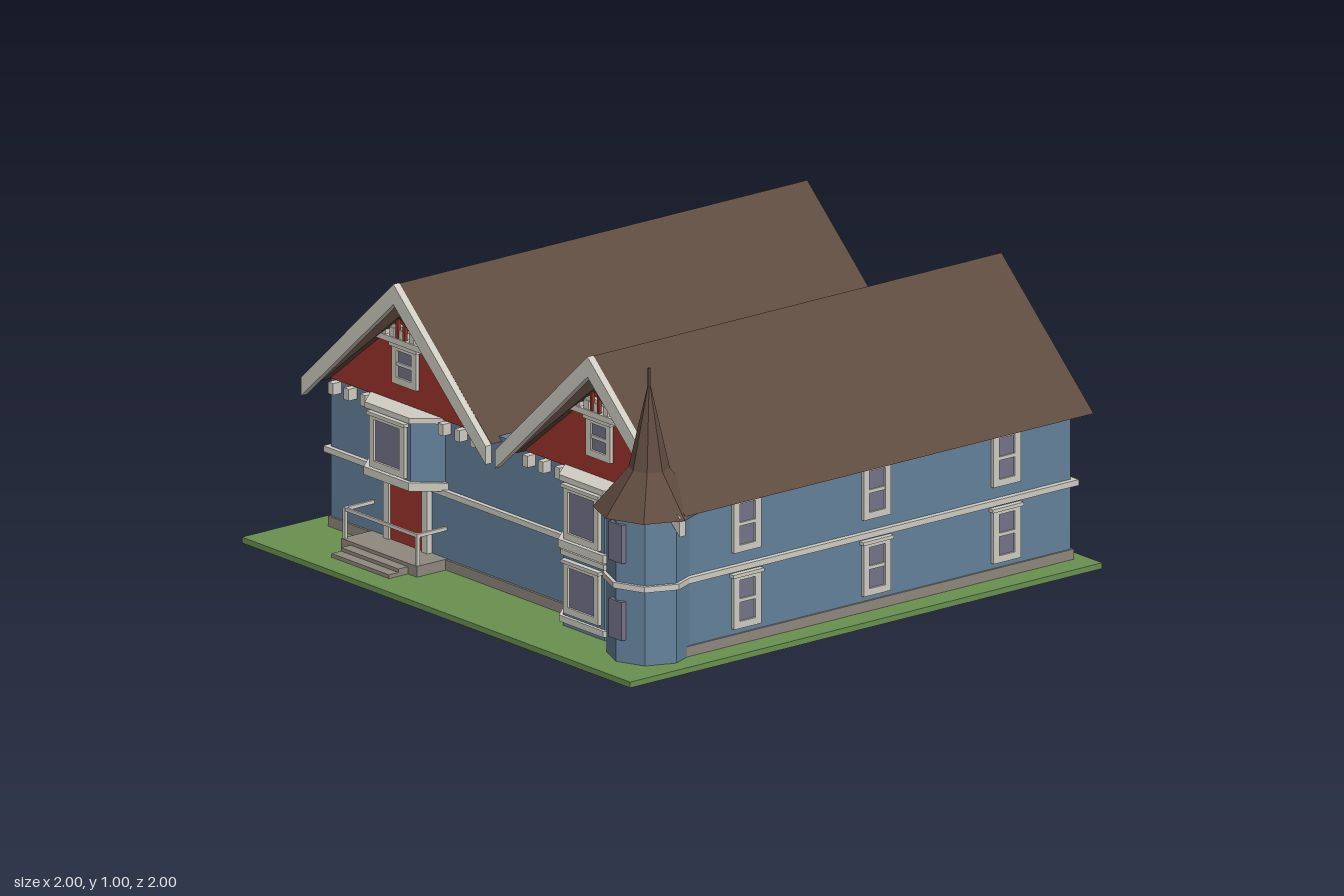
import * as THREE from 'three';
import { toCreasedNormals } from 'three/addons/utils/BufferGeometryUtils.js';

const mat = (name, color) => Object.assign(new THREE.MeshStandardMaterial({ color }), { name });
const M = {
  grass: mat('grass', 0x6a9150),
  stone: mat('stone', 0x8f887e),
  wall: mat('blue siding', 0x64829c),
  trim: mat('white trim', 0xcfcdc3),
  glass: mat('window glass', 0x74748a),
  roof: mat('brown shingles', 0x5f4b3f),
  red: mat('red paint', 0x9c332c),
  metal: mat('finial metal', 0x4b4541),
};

function add(parent, name, geometry, material, x = 0, y = 0, z = 0) {
  const m = new THREE.Mesh(geometry, material);
  m.name = name;
  m.position.set(x, y, z);
  parent.add(m);
  return m;
}

// Box given by its extents
function box(parent, name, material, x0, x1, y0, y1, z0, z1) {
  return add(parent, name, new THREE.BoxGeometry(x1 - x0, y1 - y0, z1 - z0), material,
    (x0 + x1) / 2, (y0 + y1) / 2, (z0 + z1) / 2);
}

function outline(points) {
  return new THREE.Shape(points.map(([x, y]) => new THREE.Vector2(x, y)));
}

function extrude(points, depth, hole) {
  const s = outline(points);
  if (hole) s.holes.push(outline(hole));
  return new THREE.ExtrudeGeometry(s, { depth, bevelEnabled: false });
}

const rect = (w, h) => [[-w / 2, -h / 2], [w / 2, -h / 2], [w / 2, h / 2], [-w / 2, h / 2]];

// Framed window facing +z, centred on its own origin
function makeWindow(parent, name, w, h, x, y, z, turn = 0, sash = true, border = 0.024) {
  const g = new THREE.Group();
  g.name = name;
  add(g, 'frame', extrude(rect(w, h), 0.014, rect(w - 2 * border, h - 2 * border)), M.trim);
  add(g, 'glass', new THREE.BoxGeometry(w - 2 * border, h - 2 * border, 0.006), M.glass, 0, 0, 0.003);
  if (sash) box(g, 'sashBar', M.trim, -w / 2 + border, w / 2 - border, -0.006, 0.006, 0, 0.012);
  box(g, 'cap', M.trim, -w / 2 - 0.008, w / 2 + 0.008, h / 2 - 0.012, h / 2, 0, 0.02);
  g.position.set(x, y, z);
  g.rotation.y = turn;
  parent.add(g);
}

// Bay window prism; grow widens it into a moulding
function bay(parent, name, material, x, y0, y1, grow = 0) {
  const a = 0.185 + grow, b = 0.107 + grow * 0.6, f = -0.785 - grow;
  const geo = extrude([[-a, -0.69], [-a, -0.70], [-b, f], [b, f], [a, -0.70], [a, -0.69]], y1 - y0);
  geo.rotateX(-Math.PI / 2);
  add(parent, name, geo, material, x, y0, 0);
}

// Gable roof with its decorated front, centred on x
function gable(parent, x) {
  const g = new THREE.Group();
  g.name = 'gableRoof';
  g.position.x = x;
  parent.add(g);
  add(g, 'roof', extrude([[-0.475, 0.53], [0.475, 0.53], [0, 0.965]], 1.685), M.roof, 0, 0, -0.985);
  add(g, 'roofOverhang', extrude([[-0.475, 0.53], [-0.4, 0.53], [0, 0.85], [0.4, 0.53],
    [0.475, 0.53], [0, 0.965]], 0.045), M.roof, 0, 0, 0.70);
  add(g, 'bargeboard', extrude([[-0.475, 0.528], [-0.475, 0.465], [0, 0.897], [0.475, 0.465],
    [0.475, 0.528], [0, 0.967]], 0.025), M.trim, 0, 0, 0.745);
  add(g, 'gableWall', extrude([[-0.4, 0.535], [0.4, 0.535], [0, 0.852]], 0.012), M.red, 0, 0, 0.70);
  makeWindow(g, 'gableWindow', 0.125, 0.14, 0, 0.675, 0.712);
  // Peak ornament
  box(g, 'peakRail', M.trim, -0.13, 0.13, 0.748, 0.768, 0.712, 0.74);
  box(g, 'peakUpperRail', M.trim, -0.065, 0.065, 0.795, 0.81, 0.712, 0.73);
  for (const px of [-0.095, -0.05, 0, 0.05, 0.095])
    box(g, 'peakPost', M.trim, px - 0.012, px + 0.012, 0.765, 0.798, 0.712, 0.735);
  for (const px of [-0.018, 0.018])
    box(g, 'peakSlat', M.red, px - 0.006, px + 0.006, 0.77, 0.835, 0.73, 0.74);
  // Eave brackets
  for (const side of [-1, 1]) for (const off of [0.2, 0.285, 0.365])
    box(g, 'eaveBracket', M.trim, side * off - 0.013, side * off + 0.013, 0.49, 0.53, 0.69, 0.735);
}

function makeTower(parent) {
  const t = new THREE.Group();
  t.name = 'cornerTower';
  t.position.set(0.8, 0, 0.755);
  parent.add(t);
  const drum = (name, r, y0, y1, material) => add(t, name,
    toCreasedNormals(new THREE.CylinderGeometry(r, r, y1 - y0, 8), 0.3), material, 0, (y0 + y1) / 2, 0);
  drum('towerWall', 0.14, 0.02, 0.525, M.wall);
  drum('towerBelt', 0.153, 0.275, 0.295, M.trim);
  // Flared spire
  const profile = [[0, 0.52], [0.185, 0.52], [0.068, 0.66], [0.005, 0.94], [0, 0.945]]
    .map(([r, y]) => new THREE.Vector2(r, y));
  add(t, 'towerRoof', toCreasedNormals(new THREE.LatheGeometry(profile, 8), 0.3), M.roof);
  add(t, 'finial', new THREE.CylinderGeometry(0.005, 0.005, 0.08, 8), M.metal, 0, 0.96, 0);
  for (const y of [0.165, 0.43])
    box(t, 'towerWindow', M.glass, -0.034, 0.034, y - 0.066, y + 0.066, 0.115, 0.145);
}

function makePorch(parent) {
  const p = new THREE.Group();
  p.name = 'porch';
  p.position.x = -0.5;
  parent.add(p);
  box(p, 'porchFloor', M.stone, -0.195, 0.195, 0.02, 0.057, 0.69, 0.83);
  box(p, 'upperStep', M.stone, -0.148, 0.148, 0.02, 0.045, 0.83, 0.87);
  box(p, 'lowerStep', M.stone, -0.148, 0.148, 0.02, 0.033, 0.87, 0.91);
  for (const s of [-1, 1]) {
    box(p, 'railPost', M.trim, s * 0.186 - 0.006, s * 0.186 + 0.006, 0.057, 0.165, 0.815, 0.827);
    box(p, 'sideRail', M.trim, s * 0.186 - 0.005, s * 0.186 + 0.005, 0.153, 0.165, 0.70, 0.815);
    box(p, 'doorJamb', M.trim, s * 0.1 - 0.014, s * 0.1 + 0.014, 0.057, 0.29, 0.69, 0.72);
  }
  box(p, 'frontRail', M.trim, -0.186, 0.186, 0.153, 0.165, 0.817, 0.825);
  box(p, 'door', M.red, -0.087, 0.087, 0.057, 0.29, 0.69, 0.71);
}

export function createModel() {
  const house = new THREE.Group();
  house.name = 'house';
  box(house, 'lawn', M.grass, -1, 1, 0, 0.02, -1, 1);
  box(house, 'foundation', M.stone, -0.912, 0.912, 0.02, 0.055, -0.953, 0.708);
  box(house, 'walls', M.wall, -0.905, 0.905, 0.05, 0.545, -0.945, 0.70);
  box(house, 'beltCourse', M.trim, -0.925, 0.925, 0.275, 0.295, -0.963, 0.717);
  gable(house, -0.5);
  gable(house, 0.5);

  // Bay windows: one storey over the door, two storeys on the other side
  bay(house, 'upperBay', M.wall, -0.5, 0.295, 0.535);
  bay(house, 'tallBay', M.wall, 0.5, 0.02, 0.535);
  bay(house, 'tallBayBase', M.trim, 0.5, 0.035, 0.057, 0.012);
  bay(house, 'tallBayBelt', M.trim, 0.5, 0.265, 0.283, 0.008);
  for (const x of [-0.5, 0.5]) {
    bay(house, 'baySill', M.trim, x, 0.29, 0.318, 0.015);
    bay(house, 'bayCornice', M.trim, x, 0.52, 0.54, 0.012);
    makeWindow(house, 'bayWindow', 0.18, 0.19, x, 0.42, 0.785, 0, false);
  }
  makeWindow(house, 'bayWindow', 0.18, 0.185, 0.5, 0.162, 0.785, 0, false);

  // Side and back windows on two floors
  for (const y of [0.17, 0.432]) {
    for (const s of [-1, 1]) {
      for (const z of [0.435, -0.115, -0.665])
        makeWindow(house, 'sideWindow', 0.115, 0.19, s * 0.905, y, z, s * Math.PI / 2);
      makeWindow(house, 'backWindow', 0.115, 0.19, s * 0.5, y, -0.945, Math.PI);
    }
  }
  makePorch(house);
  makeTower(house);
  return house;
}
